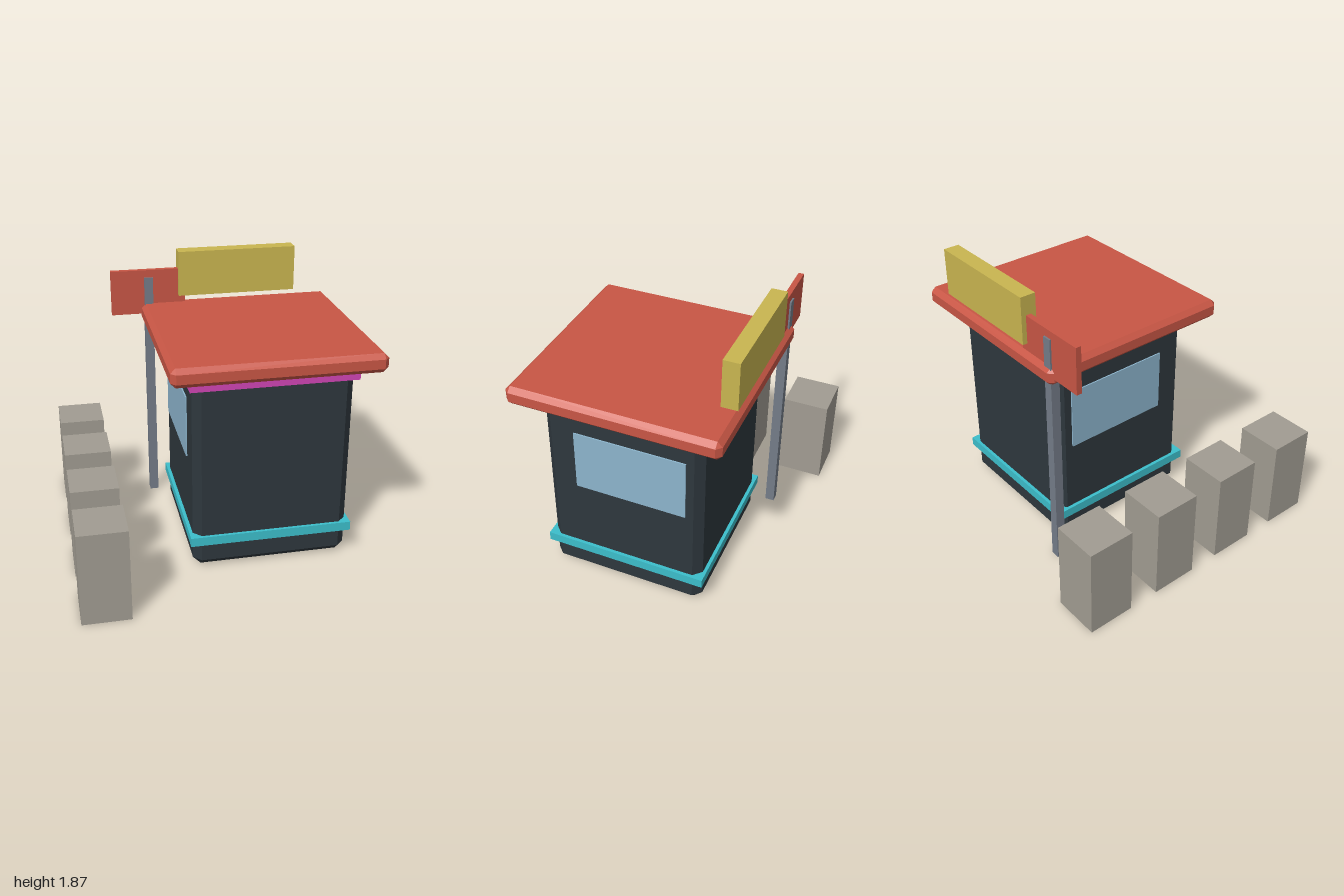
import * as THREE from 'three';
import { ConvexGeometry } from 'three/addons/geometries/ConvexGeometry.js';

const mat = (name, color) => {
  const m = new THREE.MeshStandardMaterial({ color });
  m.name = name;
  return m;
};

// Box with every edge cut by a flat chamfer
function chamferBox(w, h, d, b) {
  const x = w / 2, y = h / 2, z = d / 2, pts = [];
  for (const i of [-1, 1]) for (const j of [-1, 1]) for (const k of [-1, 1]) {
    pts.push(
      new THREE.Vector3(i * x, j * (y - b), k * (z - b)),
      new THREE.Vector3(i * (x - b), j * y, k * (z - b)),
      new THREE.Vector3(i * (x - b), j * (y - b), k * z));
  }
  return new ConvexGeometry(pts);
}

export function createModel() {
  const group = new THREE.Group();
  group.name = 'kiosk';
  const charcoal = mat('charcoal', 0x2e373d);
  const red = mat('red', 0xc85645);
  const magenta = mat('magenta', 0xd044b4);
  const cyan = mat('cyan', 0x3cbecb);
  const glass = mat('paleBlue', 0x8cb4cc);
  const steel = mat('steelGrey', 0x747c88);
  const mustard = mat('mustard', 0xc9b550);
  const stone = mat('stone', 0xa19c92);

  // Part spanning the given ranges, optionally chamfered
  function part(name, material, [x0, x1], [y0, y1], [z0, z1], bevel = 0) {
    const size = [x1 - x0, y1 - y0, z1 - z0];
    const geo = bevel ? chamferBox(...size, bevel) : new THREE.BoxGeometry(...size);
    const mesh = new THREE.Mesh(geo, material);
    mesh.name = name;
    mesh.position.set((x0 + x1) / 2, (y0 + y1) / 2, (z0 + z1) / 2);
    group.add(mesh);
  }

  // Booth and overhanging roof
  part('body', charcoal, [-0.212, 0.84], [0, 1.373], [-0.578, 0.477], 0.053);
  part('roof', red, [-0.37, 1], [1.37, 1.497], [-0.738, 0.63], 0.032);

  // Bands around the booth
  part('upperBand', magenta, [-0.235, 0.862], [1.287, 1.35], [-0.6, 0.498]);
  part('lowerBand', cyan, [-0.235, 0.862], [0.18, 0.243], [-0.6, 0.498]);

  // Side windows
  part('leftWindow', glass, [0.843, 0.852], [0.738, 1.16], [-0.475, 0.265]);
  part('rightWindow', glass, [-0.224, -0.215], [0.738, 1.16], [-0.475, 0.265]);

  // Pole with its panel, and the rooftop sign
  part('pole', steel, [-0.348, -0.287], [0, 1.687], [-0.717, -0.655]);
  part('polePanel', red, [-0.582, -0.056], [1.424, 1.74], [-0.706, -0.669]);
  part('roofSign', mustard, [-0.106, 0.735], [1.55, 1.867], [-0.738, -0.633]);

  // Row of blocks beside the booth
  for (let i = 0; i < 4; i++) {
    const z = -0.79 + i * 0.526;
    part('block' + (i + 1), stone, [-1, -0.685], [0, 0.632], [z - 0.158, z + 0.158]);
  }
  return group;
}
